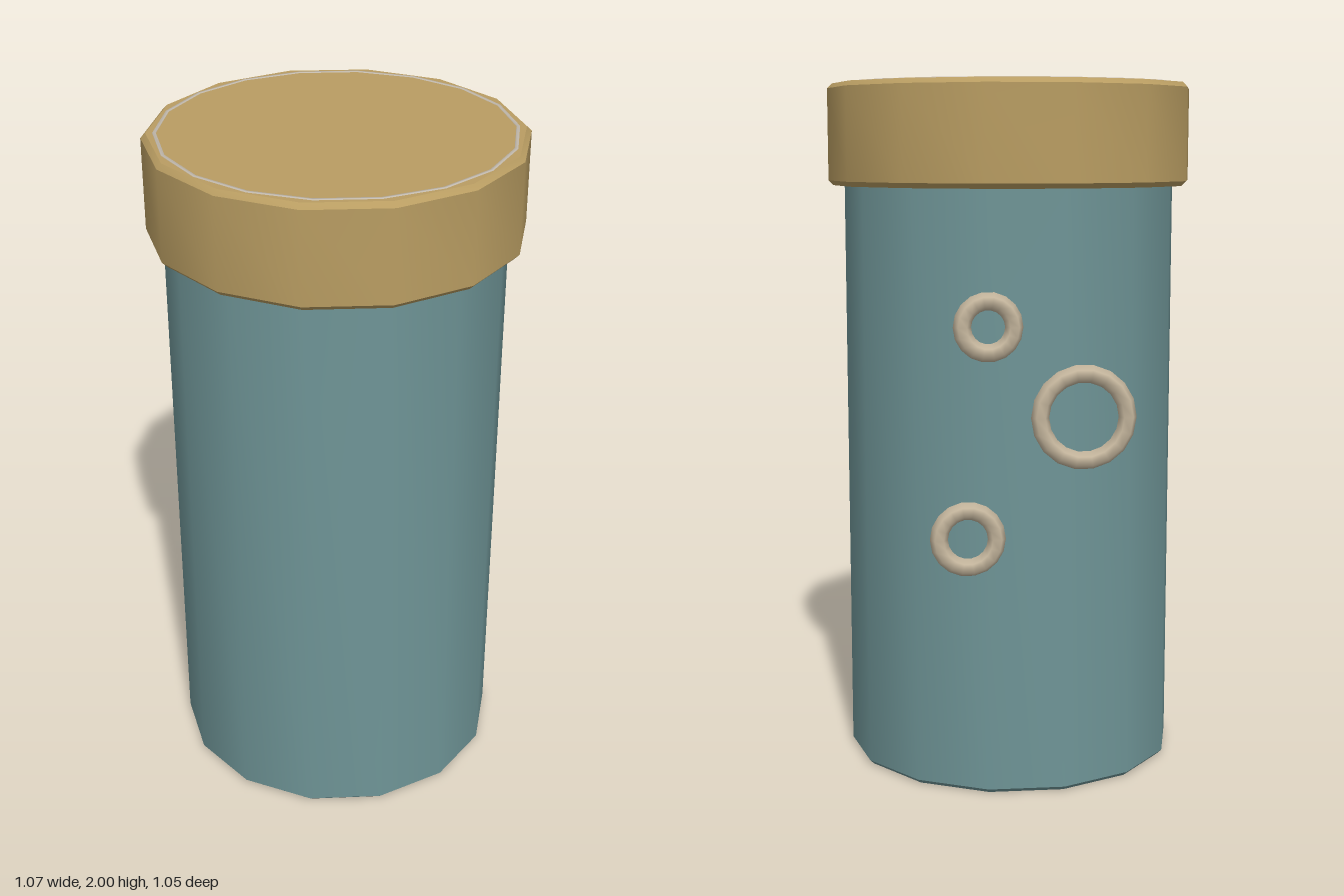
import * as THREE from 'three';
import { toCreasedNormals } from 'three/addons/utils/BufferGeometryUtils.js';

const material = (name, color) => {
  const m = new THREE.MeshStandardMaterial({ color });
  m.name = name;
  return m;
};

// Closed 14-sided drum with small bevels at both rims
function bevelledDrum(radius, y0, y1, bevel) {
  const profile = [
    [0, y0], [radius - bevel, y0], [radius, y0 + bevel],
    [radius, y1 - bevel], [radius - bevel, y1], [0, y1],
  ].map(([r, y]) => new THREE.Vector2(r, y));
  return toCreasedNormals(new THREE.LatheGeometry(profile, 14, Math.PI / 2), 0.6);
}

export function createModel() {
  const group = new THREE.Group();
  group.name = 'lidded canister';

  const teal = material('muted teal', 0x6f9597);
  const ochre = material('ochre', 0xb99d62);
  const cream = material('cream', 0xc6b79e);
  const paleGrey = material('pale grey', 0xc4bbae);

  const add = (name, geometry, mat, x = 0, y = 0, z = 0) => {
    const mesh = new THREE.Mesh(geometry, mat);
    mesh.name = name;
    mesh.position.set(x, y, z);
    group.add(mesh);
    return mesh;
  };

  // Body and lid
  add('body', bevelledDrum(0.488, 0, 1.72, 0.012), teal, 0, 0, 0.002);
  add('lid', bevelledDrum(0.535, 1.705, 1.998, 0.014), ochre, 0, 0, 0.002);

  // Thin inlay ring, almost flush with the lid top
  const inlay = add('lidInlay', new THREE.TorusGeometry(0.497, 0.008, 6, 18), paleGrey, 0, 1.993, 0.002);
  inlay.rotation.x = -Math.PI / 2;

  // Rings floating just off the back: x, y, outer radius
  const tube = 0.025;
  [
    ['upperRing', 0.11, 1.335, 0.096],
    ['largeRing', -0.153, 1.085, 0.146],
    ['lowerRing', 0.167, 0.75, 0.105],
  ].forEach(([name, x, y, outer]) => {
    add(name, new THREE.TorusGeometry(outer - tube, tube, 6, 18), cream, x, y, -0.503);
  });

  return group;
}
